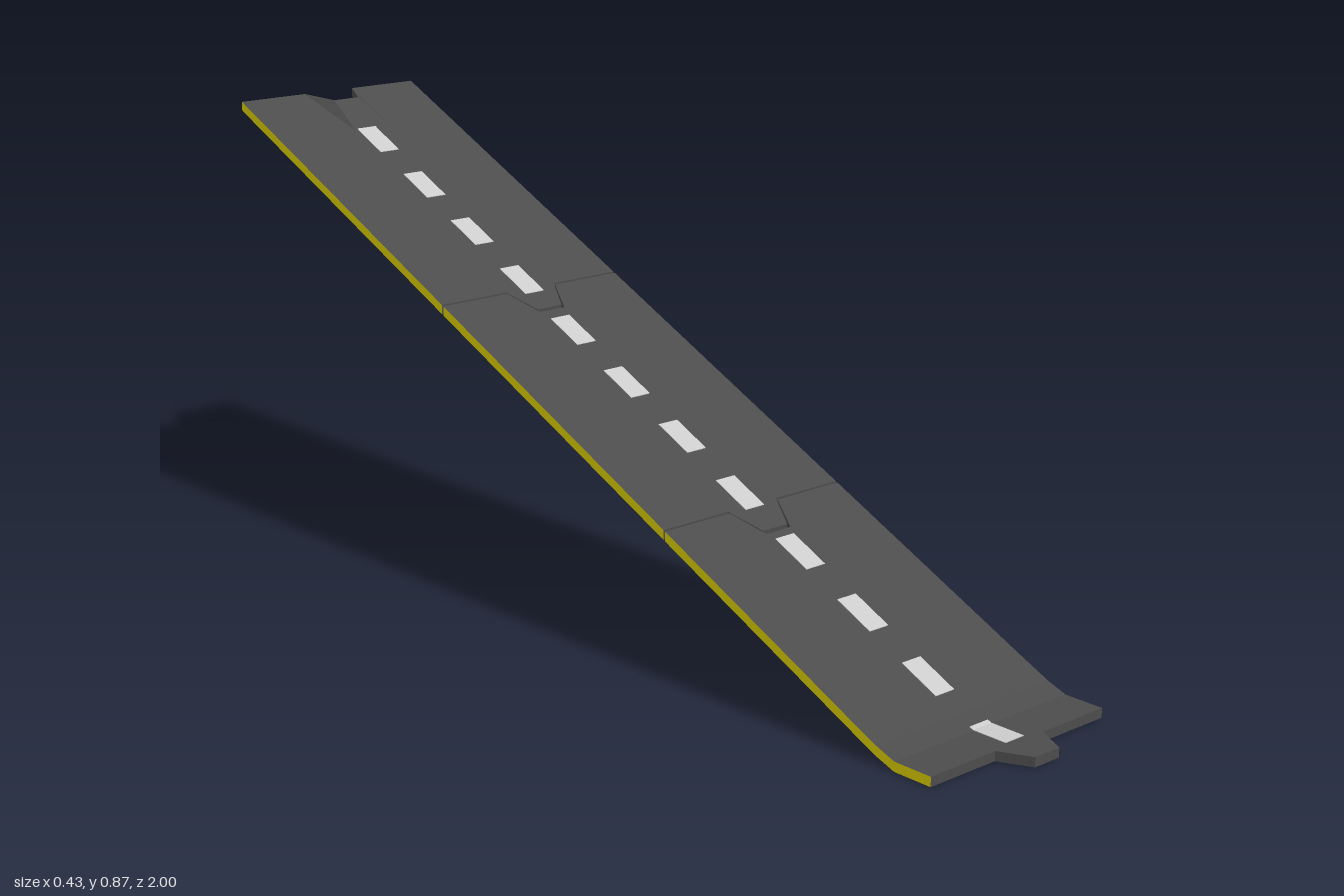
import * as THREE from 'three';

const HALF_W = 0.215, HALF_T = 0.009, TAB = 0.06, NOTCH = 0.064;
const clamp01 = (t) => Math.min(1, Math.max(0, t));

// Height of the deck's mid-surface: straight slope, short bend, level foot.
const PROFILE = [[-1, 0.86], [0.76, 0.05], [0.82, 0.023], [0.86, 0.009], [1.01, 0.009]];
function height(x, z) {
  let i = 0;
  while (i < PROFILE.length - 2 && z > PROFILE[i + 1][0]) i++;
  const [z0, y0] = PROFILE[i], [z1, y1] = PROFILE[i + 1];
  const y = y0 + (y1 - y0) * (z - z0) / (z1 - z0);
  // The lip around the top notch curls up
  const along = clamp01(Math.min((-0.86 - z) / 0.08, (z + 1) / 0.06));
  return y + 0.022 * along * clamp01((HALF_W - Math.abs(x)) / (HALF_W - 0.03));
}

// Trapezoid used for both the tab and the notch
const tongue = (x) => clamp01((0.06 - Math.abs(x)) / 0.03);

// Sheet from a grid of [x, z] points, thickened up and down.
// Returns separate geometries for the body and for the two long sides.
function slab(rows, half) {
  const body = [], sides = [];
  const at = (r, c, s) => {
    const [x, z] = rows[r][c];
    return [x, height(x, z) + s * half, z];
  };
  const quad = (out, a, b, c, d) => out.push(...a, ...b, ...c, ...a, ...c, ...d);
  const R = rows.length - 1, C = rows[0].length - 1;
  for (let r = 0; r < R; r++) {
    for (let c = 0; c < C; c++) {
      quad(body, at(r, c, 1), at(r + 1, c, 1), at(r + 1, c + 1, 1), at(r, c + 1, 1));
      quad(body, at(r, c, -1), at(r, c + 1, -1), at(r + 1, c + 1, -1), at(r + 1, c, -1));
    }
    quad(sides, at(r, 0, -1), at(r + 1, 0, -1), at(r + 1, 0, 1), at(r, 0, 1));
    quad(sides, at(r + 1, C, -1), at(r, C, -1), at(r, C, 1), at(r + 1, C, 1));
  }
  for (let c = 0; c < C; c++) {
    quad(body, at(R, c, -1), at(R, c + 1, -1), at(R, c + 1, 1), at(R, c, 1));
    quad(body, at(0, c + 1, -1), at(0, c, -1), at(0, c, 1), at(0, c + 1, 1));
  }
  return [body, sides].map((p) => {
    const g = new THREE.BufferGeometry();
    g.setAttribute('position', new THREE.Float32BufferAttribute(p, 3));
    g.computeVertexNormals();
    return g;
  });
}

export function createModel() {
  const model = new THREE.Group();
  model.name = 'roadRamp';
  const material = (color) => new THREE.MeshStandardMaterial({ color, flatShading: true });
  const asphalt = material(0x4c4c4c), yellow = material(0xe6d800), paint = material(0xcccccc);
  const add = (parent, name, geometry, mat) => {
    const mesh = new THREE.Mesh(geometry, mat);
    mesh.name = name;
    parent.add(mesh);
  };

  // Three interlocking road panels: notch at the back, tab at the front
  const xs = [-HALF_W, -0.13, -0.06, -0.03, 0, 0.03, 0.06, 0.13, HALF_W];
  const panels = [
    [-1, -0.86, -0.72, -0.5, -0.332],
    [-0.328, -0.15, 0.1, 0.299],
    [0.303, 0.45, 0.62, 0.76, 0.82, 0.86, 0.94],
  ];
  panels.forEach((zs, i) => {
    const rows = zs.map((z, r) => {
      const depth = r === 0 ? NOTCH : r === zs.length - 1 ? TAB : 0;
      return xs.map((x) => [x, z + depth * tongue(x)]);
    });
    const [body, sides] = slab(rows, HALF_T);
    const panel = new THREE.Group();
    panel.name = 'roadPanel' + (i + 1);
    add(panel, 'deck', body, asphalt);
    add(panel, 'yellowEdges', sides, yellow);
    model.add(panel);
  });

  // Dashed centre line, showing on both faces
  const dashes = new THREE.Group();
  dashes.name = 'centreLine';
  for (let i = 0; i < 12; i++) {
    const z0 = -0.865 + 0.156 * i, z1 = z0 + 0.079;
    const stops = [z0, ...[-0.86, 0.76, 0.86].filter((z) => z > z0 && z < z1), z1];
    const rows = stops.map((z) => [-0.023, 0, 0.023].map((x) => [x, z]));
    const [body, sides] = slab(rows, HALF_T + 0.0012);
    add(dashes, 'dash' + (i + 1), body, paint);
    add(dashes, 'dashSides' + (i + 1), sides, paint);
  }
  model.add(dashes);
  return model;
}
